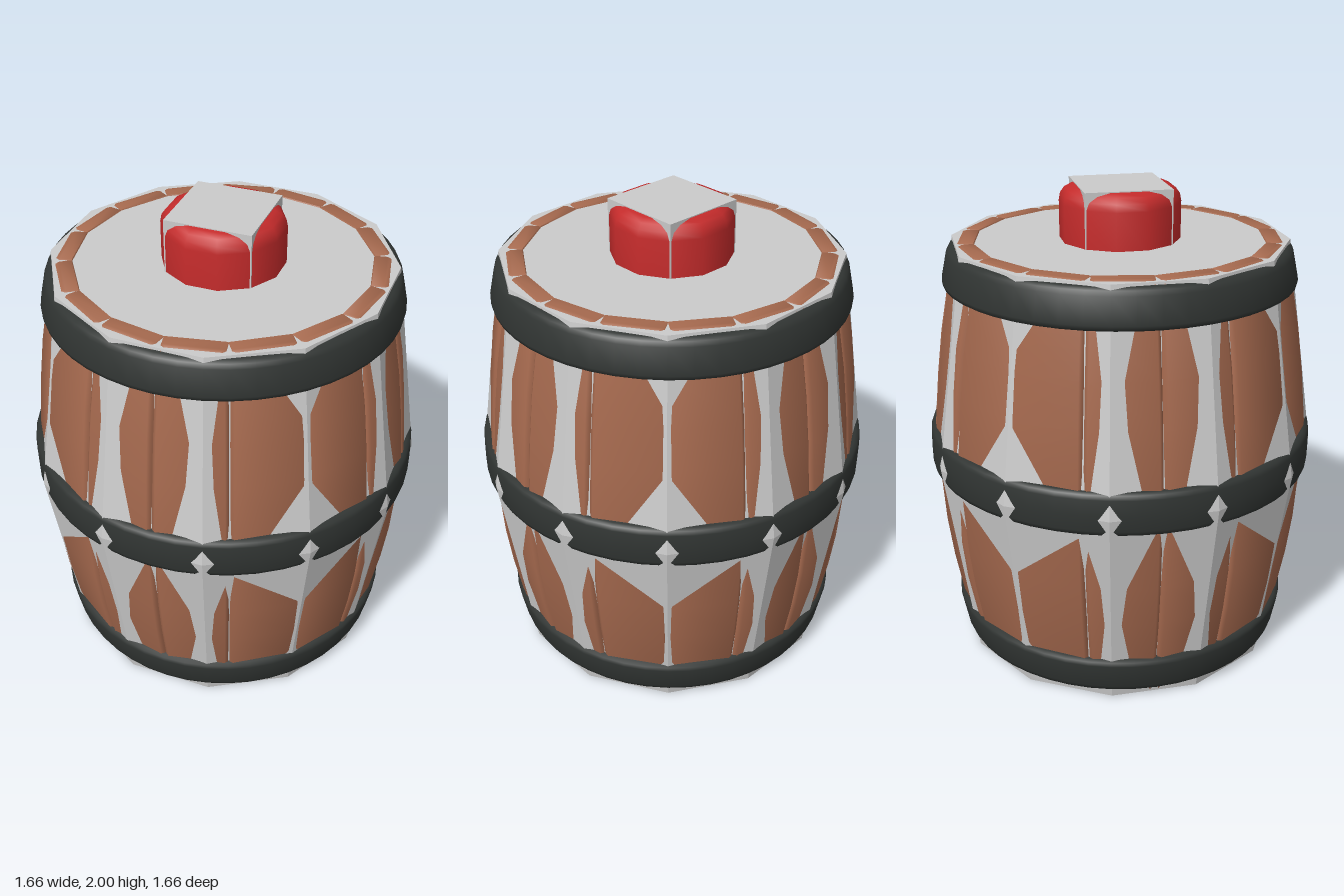
import * as THREE from 'three';
import { toCreasedNormals } from 'three/addons/utils/BufferGeometryUtils.js';

const material = (color, flatShading = false) => new THREE.MeshStandardMaterial({ color, flatShading });

function addMesh(parent, name, geometry, mat) {
  const mesh = new THREE.Mesh(geometry, mat);
  mesh.name = name;
  parent.add(mesh);
  return mesh;
}

// Revolve a profile of [radius, y] pairs, listed from bottom to top.
function lathe(profile, sides) {
  return new THREE.LatheGeometry(profile.map(([r, y]) => new THREE.Vector2(r, y)), sides);
}

// One bowed plank, lofted upwards through chamfered rectangles.
// Rows are [y, distance of outer face from axis, inset].
function staveGeometry() {
  const rows = [
    [0, 0.665, 0.012], [0.012, 0.668, 0], [0.2, 0.713, 0], [0.38, 0.745, 0],
    [0.56, 0.767, 0], [0.8, 0.781, 0], [1.0, 0.788, 0], [1.23, 0.765, 0],
    [1.42, 0.74, 0], [1.6, 0.707, 0], [1.768, 0.668, 0], [1.78, 0.665, 0.012],
  ];
  const thickness = 0.085, c = 0.012, n = 6;
  const positions = [], index = [];
  rows.forEach(([y, dist, inset], j) => {
    const w = dist * Math.tan(Math.PI / 16) - 0.006 - inset;
    const outer = dist - inset, inner = dist - thickness + inset;
    const section = [[-w, outer - c], [-w + c, outer], [w - c, outer], [w, outer - c], [w, inner], [-w, inner]];
    section.forEach(([x, z]) => positions.push(x, y, z));
    if (j === 0) return;
    for (let i = 0; i < n; i++) {
      const a = (j - 1) * n + i, b = (j - 1) * n + (i + 1) % n;
      index.push(a, b, a + n, b, b + n, a + n);
    }
  });
  const top = (rows.length - 1) * n;
  for (let i = 1; i < n - 1; i++) {
    index.push(0, i + 1, i);
    index.push(top, top + i, top + i + 1);
  }
  const geometry = new THREE.BufferGeometry();
  geometry.setAttribute('position', new THREE.Float32BufferAttribute(positions, 3));
  geometry.setIndex(index);
  return toCreasedNormals(geometry, 0.9);
}

export function createModel() {
  const group = new THREE.Group();
  const grey = material(0xcccccc, true);
  const wood = material(0xa5694e);
  const iron = material(0x313533);
  const red = material(0xc42b2b);

  // Twelve-sided inner shell whose corners show between the planks
  addMesh(group, 'shell', lathe([[0, 0.004], [0.7, 0.004], [0.83, 0.89], [0.7, 1.776], [0, 1.776]], 12), grey);

  // Ring of planks
  const staves = new THREE.Group();
  staves.name = 'staves';
  const stave = staveGeometry();
  for (let i = 0; i < 16; i++) {
    addMesh(staves, 'stave', stave, wood).rotation.y = (i + 0.5) * Math.PI / 8;
  }
  group.add(staves);

  // Iron hoops with rounded rims
  const hoops = {
    bottomHoop: [[0.67, 0.03], [0.69, 0.032], [0.705, 0.04], [0.714, 0.06], [0.736, 0.17], [0.734, 0.188], [0.722, 0.197], [0.66, 0.197]],
    middleHoop: [[0.74, 0.817], [0.8, 0.817], [0.814, 0.824], [0.82, 0.842], [0.821, 0.908], [0.82, 0.974], [0.814, 0.992], [0.8, 1.0], [0.74, 1.0]],
    topHoop: [[0.66, 1.607], [0.722, 1.607], [0.734, 1.614], [0.737, 1.63], [0.714, 1.736], [0.705, 1.754], [0.69, 1.764], [0.67, 1.766]],
  };
  for (const [name, profile] of Object.entries(hoops)) {
    addMesh(group, name, toCreasedNormals(lathe(profile, 48), 0.9), iron);
  }

  // Rounded stopper with a square core showing at its top
  const stopper = [[0.25, 1.75], [0.25, 1.93], [0.244, 1.96], [0.227, 1.983], [0.2, 1.996], [0, 1.997]];
  addMesh(group, 'stopper', toCreasedNormals(lathe(stopper, 12), 0.9), red);
  addMesh(group, 'stopperCore', lathe([[0.253, 1.76], [0.253, 2], [0, 2]], 4), grey);

  return group;
}
